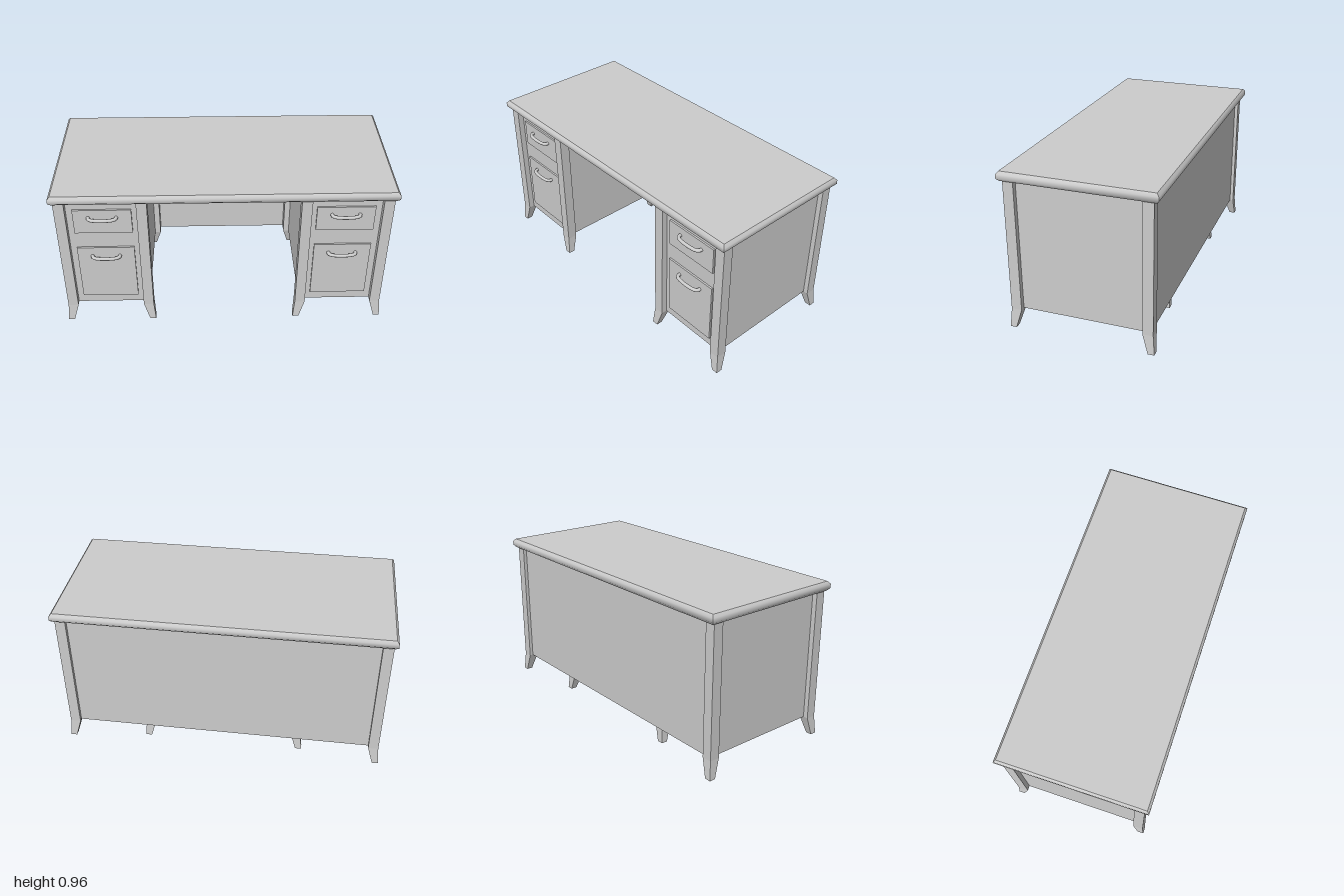
import * as THREE from 'three';
import { toCreasedNormals } from 'three/addons/utils/BufferGeometryUtils.js';

const grey = new THREE.MeshStandardMaterial({ color: 0xcccccc });
grey.name = 'grey';

function add(group, name, geometry) {
  const mesh = new THREE.Mesh(geometry, grey);
  mesh.name = name;
  group.add(mesh);
  return mesh;
}

// Box given by its extents
function addBox(group, name, x0, x1, y0, y1, z0, z1) {
  const mesh = add(group, name, new THREE.BoxGeometry(x1 - x0, y1 - y0, z1 - z0));
  mesh.position.set((x0 + x1) / 2, (y0 + y1) / 2, (z0 + z1) / 2);
  return mesh;
}

// Solid through rectangular sections [y, x0, x1, z0, z1], lowest first
function loft(sections, crease) {
  const rings = sections.map(([y, x0, x1, z0, z1]) => [[x0, y, z1], [x1, y, z1], [x1, y, z0], [x0, y, z0]]);
  const pos = [];
  const quad = (a, b, c, d) => pos.push(...a, ...b, ...c, ...a, ...c, ...d);
  for (let k = 0; k + 1 < rings.length; k++) {
    for (let i = 0; i < 4; i++) {
      const j = (i + 1) % 4;
      quad(rings[k][i], rings[k][j], rings[k + 1][j], rings[k + 1][i]);
    }
  }
  const first = rings[0], last = rings[rings.length - 1];
  quad(first[3], first[2], first[1], first[0]);
  quad(...last);
  const geometry = new THREE.BufferGeometry();
  geometry.setAttribute('position', new THREE.Float32BufferAttribute(pos, 3));
  geometry.computeVertexNormals();
  return crease ? toCreasedNormals(geometry, crease) : geometry;
}

const FLOOR = 0.115, UNDERSIDE = 0.906;

// Square post centred on (x, z) whose tapered foot kicks out towards dx, dz
function addLeg(group, name, x, z, dx, dz) {
  const h = 0.031, f = 0.019, kick = 0.022;
  const fx = x + dx * kick, fz = z + dz * kick;
  add(group, name, loft([
    [0, fx - f, fx + f, fz - f, fz + f],
    [FLOOR, x - h, x + h, z - h, z + h],
    [UNDERSIDE, x - h, x + h, z - h, z + h],
  ]));
}

// Bowed pull with both ends running into the drawer front
function handleGeometry() {
  const path = new THREE.CatmullRomCurve3([
    [-0.082, -0.005], [-0.08, 0.014], [-0.066, 0.026], [-0.03, 0.033],
    [0.03, 0.033], [0.066, 0.026], [0.08, 0.014], [0.082, -0.005],
  ].map(([x, z]) => new THREE.Vector3(x, 0, z)));
  return new THREE.TubeGeometry(path, 32, 0.0105, 10);
}

export function createModel() {
  const desk = new THREE.Group();
  desk.name = 'desk';

  // Table top with a softly rounded rim
  add(desk, 'tableTop', loft([
    [0.905, -0.986, 0.986, -0.441, 0.441],
    [0.921, -1, 1, -0.455, 0.455],
    [0.946, -1, 1, -0.455, 0.455],
    [0.962, -0.986, 0.986, -0.441, 0.441],
  ], 0.85));

  addBox(desk, 'backPanel', -0.95, 0.95, FLOOR, UNDERSIDE, -0.403, -0.362);

  const pull = handleGeometry();
  for (const s of [-1, 1]) {
    const pedestal = new THREE.Group();
    pedestal.name = s < 0 ? 'rightPedestal' : 'leftPedestal';
    desk.add(pedestal);

    const cx = s * 0.71;
    addBox(pedestal, 'cabinet', cx - 0.24, cx + 0.24, FLOOR, UNDERSIDE, -0.362, 0.391);

    // Legs: the front inner foot kicks towards the knee space
    addLeg(pedestal, 'frontOuterLeg', s * 0.949, 0.396, s, 1);
    addLeg(pedestal, 'backOuterLeg', s * 0.949, -0.394, s, -1);
    addLeg(pedestal, 'frontInnerLeg', s * 0.476, 0.396, -s, 1);
    addLeg(pedestal, 'backInnerLeg', s * 0.464, -0.33, s, -1);

    // Drawers: [bottom, top, handle height]
    for (const [y0, y1, hy] of [[0.67, 0.835, 0.783], [0.174, 0.558, 0.497]]) {
      addBox(pedestal, 'drawerFront', cx - 0.171, cx + 0.171, y0, y1, 0.389, 0.402);
      add(pedestal, 'drawerHandle', pull).position.set(cx, hy, 0.402);
    }
  }
  return desk;
}
